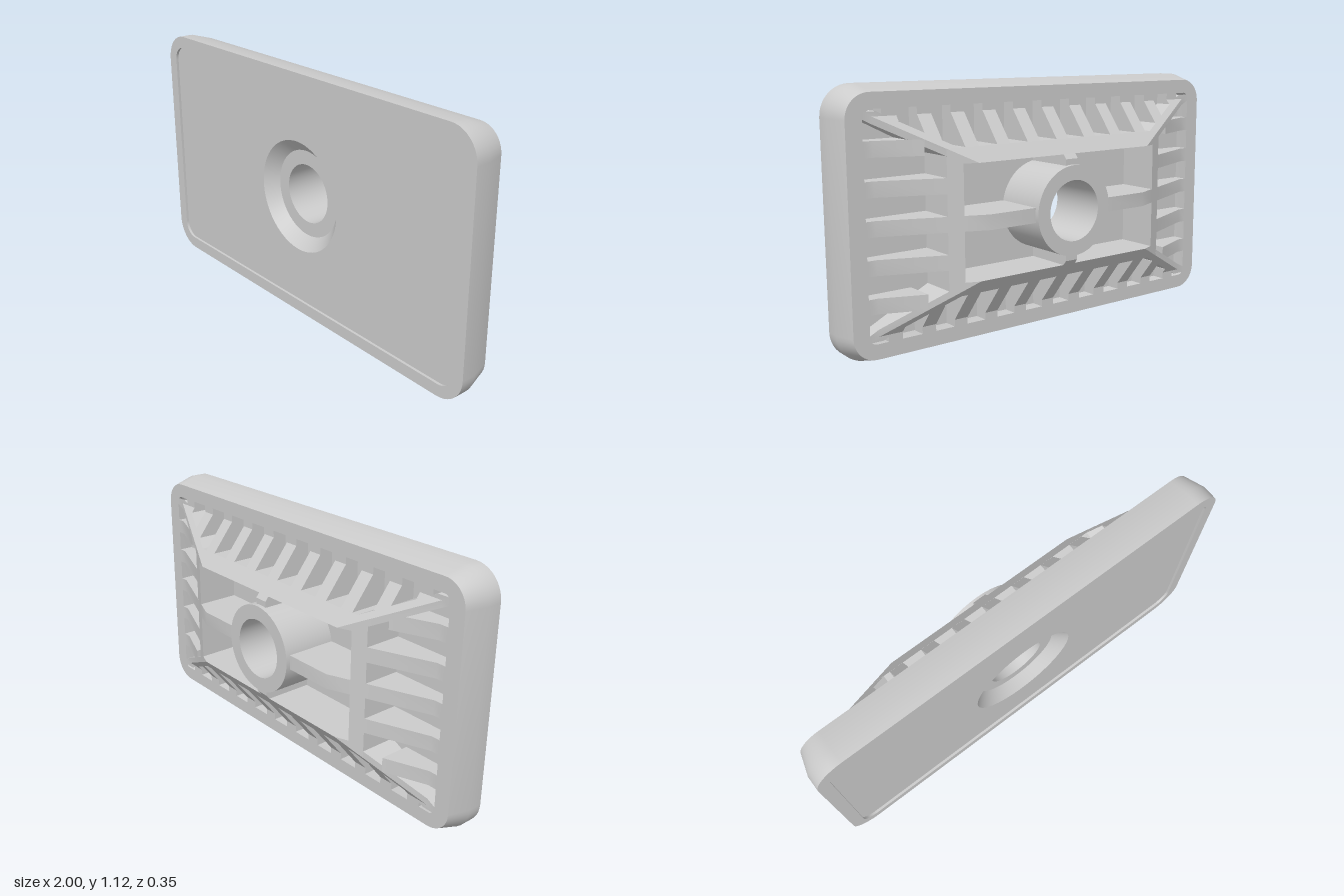
import * as THREE from 'three';
import { toCreasedNormals } from 'three/addons/utils/BufferGeometryUtils.js';

const FLOOR = 0.08, RIM = 0.015, PITCH = 0.157, RIB = 0.0325;
const SLOT_X = 0.593, SLOT_Y = 0.307, CAV_X = 0.53, CAV_Y = 0.245;
const POCKET_X = 0.9, POCKET_Y = 0.47;

// Height of the sloped back at a distance from the middle, on the ends and long sides
const endZ = x => RIM - 0.17 * (0.86 - x) / 0.43;
const sideZ = y => RIM - 0.17 * (0.44 - y) / 0.215;

// Skin a series of loops (each running counterclockwise about the direction of travel)
function loft(loops, capped) {
  const n = loops[0].length, index = [];
  for (let i = 0; i < loops.length - 1; i++) {
    for (let j = 0; j < n; j++) {
      const k = (j + 1) % n, a = i * n, b = a + n;
      index.push(a + j, a + k, b + k, a + j, b + k, b + j);
    }
  }
  if (capped) {
    const e = (loops.length - 1) * n;
    for (let j = 1; j < n - 1; j++) index.push(0, j + 1, j, e, e + j, e + j + 1);
  }
  const g = new THREE.BufferGeometry();
  g.setAttribute('position', new THREE.Float32BufferAttribute(loops.flat(2), 3));
  g.setIndex(index);
  return toCreasedNormals(g, 0.4);
}

// Points of a rounded rectangle, counterclockwise
function roundedRect(hx, hy, r) {
  const pts = [];
  [[1, 1], [-1, 1], [-1, -1], [1, -1]].forEach(([sx, sy], q) => {
    for (let i = 0; i <= 10; i++) {
      const a = (q + i / 10) * Math.PI / 2;
      pts.push([sx * (hx - r) + r * Math.cos(a), sy * (hy - r) + r * Math.sin(a)]);
    }
  });
  return pts;
}
const rectLoop = (hx, hy, r, z) => roundedRect(hx, hy, r).map(([x, y]) => [x, y, z]);

// Upright bar along +x from stations [x, top], standing on the floor
function bar(stations, offset) {
  const a = offset - RIB, b = offset + RIB;
  return loft(stations.map(([x, z]) => [[x, a, z], [x, b, z], [x, b, FLOOR], [x, a, FLOOR]]), true);
}

// Flat slab with a round hole
function slab(hole, z0, z1) {
  const shape = new THREE.Shape(roundedRect(0.945, 0.5075, 0.07).map(p => new THREE.Vector2(...p)));
  shape.holes.push(new THREE.Path().absarc(0, 0, hole, 0, Math.PI * 2, true));
  const g = new THREE.ExtrudeGeometry(shape, { depth: z1 - z0, bevelEnabled: false, curveSegments: 32 });
  return g.translate(0, 0, z0);
}

export function createModel() {
  const model = new THREE.Group();
  const body = new THREE.Group();
  body.name = 'mountingPlate';
  body.position.y = 0.5625;
  model.add(body);
  const material = new THREE.MeshStandardMaterial({ color: 0xcccccc });
  const add = (name, geometry, turn = 0) => {
    const mesh = new THREE.Mesh(geometry, material);
    mesh.name = name;
    mesh.rotation.z = turn;
    body.add(mesh);
  };

  // Outer frame: pocket wall, back rim, tapered edge, front lip
  add('frame', loft([
    rectLoop(POCKET_X, POCKET_Y, 0.03, FLOOR + 0.01),
    rectLoop(POCKET_X, POCKET_Y, 0.03, RIM),
    rectLoop(0.972, 0.5345, 0.105, RIM),
    rectLoop(1, 0.5625, 0.13, 0.11),
    rectLoop(1, 0.5625, 0.13, 0.175),
    rectLoop(0.945, 0.5075, 0.07, 0.175),
    rectLoop(0.945, 0.5075, 0.07, 0.16)
  ]));

  // Recessed front panel and the pocket floor behind it
  add('frontPanel', slab(0.255, 0.11, 0.163));
  add('pocketFloor', slab(0.2, FLOOR, 0.11));

  // Central boss with countersunk through hole
  const profile = [[0.255, 0.163], [0.2, 0.11], [0.135, 0.11], [0.135, -0.175], [0.2, -0.175], [0.2, 0.09]];
  const boss = new THREE.LatheGeometry(profile.map(p => new THREE.Vector2(...p)), 64);
  add('boss', toCreasedNormals(boss.rotateX(Math.PI / 2), 0.4));

  // Wall round the central cavity, its top following the slopes
  const hipX = 2 * (CAV_Y - 0.01);
  const ring = (x1, x2, y, z1, z2) => [
    [x1, y, z1], [x2, y, z2], [-x2, y, z2], [-x1, y, z1],
    [-x1, -y, z1], [-x2, -y, z2], [x2, -y, z2], [x1, -y, z1]
  ];
  const slotZ = endZ(SLOT_X);
  add('cavityWall', loft([
    ring(CAV_X, hipX, CAV_Y, FLOOR, FLOOR),
    ring(CAV_X, hipX, CAV_Y, endZ(CAV_X), sideZ(CAV_Y)),
    ring(SLOT_X, SLOT_X, SLOT_Y, slotZ, slotZ),
    ring(SLOT_X, SLOT_X, SLOT_Y, FLOOR, FLOOR)
  ]));

  for (const half of [0, Math.PI]) {
    // Ribs on the two ends
    for (let k = -2; k <= 2; k++) {
      const x = Math.max(SLOT_X - 0.01, 2 * (Math.abs(k * PITCH) + RIB - 0.01));
      add('endRib', bar([[x, endZ(x)], [0.86, RIM], [POCKET_X, RIM]], k * PITCH), half);
    }
    // Ribs on the two long sides
    for (let k = -5; k <= 5; k++) {
      const y = Math.max(SLOT_Y - 0.01, (Math.abs(k * PITCH) + RIB) / 2 + 0.01);
      add('sideRib', bar([[y, sideZ(y)], [0.44, RIM], [POCKET_Y, RIM]], k * PITCH), half + Math.PI / 2);
    }
    // Webs joining the boss to the cavity wall
    add('longWeb', bar([[0.17, -0.155], [0.43, -0.155], [0.535, endZ(0.535)]], 0), half);
    add('shortWeb', bar([[0.17, -0.155], [0.225, -0.155], [0.25, sideZ(0.25)]], 0), half + Math.PI / 2);
  }

  // Diagonal hip ribs running to the four corners
  for (const sx of [1, -1]) {
    for (const sy of [1, -1]) {
      const sections = [[0.58, 0.30, endZ(0.58)], [0.86, 0.44, RIM], [0.9, 0.46, RIM]].map(([x, y, z]) => {
        const s = [[x, y - 0.03, z], [x, y, z], [x - 0.06, y, z], [x - 0.06, y, FLOOR], [x, y - 0.03, FLOOR]]
          .map(p => [sx * p[0], sy * p[1], p[2]]);
        return sx * sy < 0 ? s.reverse() : s;
      });
      add('hipRib', loft(sections, true));
    }
  }
  return model;
}
